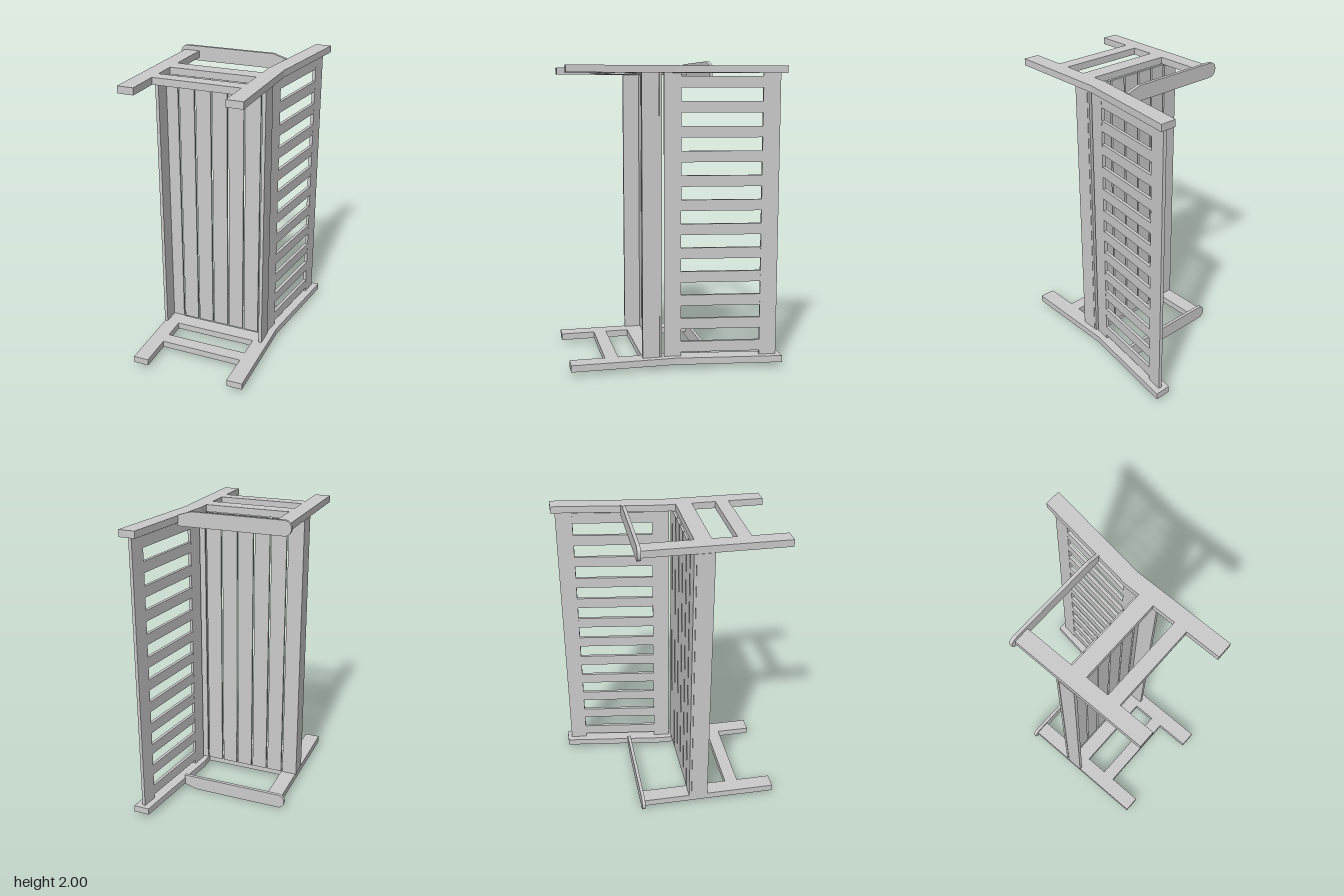
import * as THREE from 'three';

const material = new THREE.MeshStandardMaterial({ color: 0xcccccc, flatShading: true });

// The bench lies on its end: length runs along y, its seat faces -z, its front faces -x.
const FRAME_IN = 0.076, FRAME_OUT = 0.031;   // end frame thickness, mirrored about y = 1

function add(group, name, geometry) {
  const mesh = new THREE.Mesh(geometry, material);
  mesh.name = name;
  group.add(mesh);
}

// Extrude an (x, z) outline along y
function prism(points, y0, y1) {
  const shape = new THREE.Shape(points.map(([x, z]) => new THREE.Vector2(x, z)));
  const g = new THREE.ExtrudeGeometry(shape, { depth: y1 - y0, bevelEnabled: false });
  g.rotateX(Math.PI / 2);
  g.translate(0, y1, 0);
  return g;
}

const rect = (x0, x1, z0, z1) => [[x0, z0], [x1, z0], [x1, z1], [x0, z1]];

// Outline of a board centred on the leaning back line, between two z heights
function leaning(zLow, zHigh, half) {
  const x = z => 0.3035 + 0.139 * (0.01 - z);
  const nx = 0.99 * half, nz = 0.138 * half;
  return [[x(zLow) - nx, zLow - nz], [x(zLow) + nx, zLow + nz],
    [x(zHigh) + nx, zHigh + nz], [x(zHigh) - nx, zHigh - nz]];
}

// Armrest with rounded front corners and a tapered outer rear corner
function armrest(upper) {
  const y = v => (upper ? 2 - v : v);
  const r = 0.045, x0 = -0.455, w = 0.097;
  const pts = [];
  for (let i = 0; i <= 6; i++) {
    const a = (i / 6) * Math.PI / 2;
    pts.push([x0 + r - r * Math.sin(a), w - r + r * Math.cos(a)]);
  }
  for (let i = 0; i <= 6; i++) {
    const a = (i / 6) * Math.PI / 2;
    pts.push([x0 + r - r * Math.cos(a), r - r * Math.sin(a)]);
  }
  pts.push([0.2, 0], [0.29, 0.028], [0.29, w]);
  const shape = new THREE.Shape(pts.map(([x, v]) => new THREE.Vector2(x, y(v))));
  const g = new THREE.ExtrudeGeometry(shape, { depth: 0.022, bevelEnabled: false });
  g.translate(0, 0, -0.249);
  return g;
}

export function createModel() {
  const bench = new THREE.Group();
  bench.name = 'bench';

  // End frames
  for (const upper of [false, true]) {
    const frame = new THREE.Group();
    frame.name = upper ? 'upperEndFrame' : 'lowerEndFrame';
    const y0 = upper ? 2 - FRAME_IN : FRAME_OUT;
    const y1 = upper ? 2 - FRAME_OUT : FRAME_IN;
    add(frame, 'frontLeg', prism(rect(-0.428, -0.323, -0.227, 0.69), y0, y1));
    add(frame, 'backPost', prism([[0.25, 0.69], [0.25, 0.01], [0.348, -0.697],
      [0.455, -0.697], [0.357, 0.01], [0.357, 0.69]], y0, y1));
    add(frame, 'seatSideRail', prism(rect(-0.323, 0.25, 0.107, 0.214), y0, y1));
    add(frame, 'sideStretcher', prism(rect(-0.323, 0.25, 0.37, 0.458), y0, y1));
    add(frame, 'armrest', armrest(upper));
    bench.add(frame);
  }

  const a = FRAME_IN, b = 2 - FRAME_IN;

  // Aprons below the seat
  add(bench, 'frontApron', prism(rect(-0.431, -0.409, 0.104, 0.216), a, b));
  add(bench, 'rearApron', prism(rect(0.293, 0.315, 0.104, 0.216), a, b));

  // Seat slats, the last one narrower to meet the back
  for (let i = 0; i < 7; i++) {
    const x = -0.433 + i * 0.1145;
    add(bench, 'seatSlat', prism(rect(x, i < 6 ? x + 0.103 : 0.314, 0.086, 0.102), a, b));
  }

  // Leaning back: two rails and a row of slats
  add(bench, 'lowerBackRail', prism(leaning(0.07, -0.04, 0.011), a, b));
  add(bench, 'upperBackRail', prism(leaning(-0.558, -0.668, 0.011), a, b));
  for (let i = 0; i < 12; i++) {
    const y = 0.139 + i * 0.1573;
    add(bench, 'backSlat', prism(leaning(-0.04, -0.558, 0.0105), y - 0.036, y + 0.036));
  }

  return bench;
}
